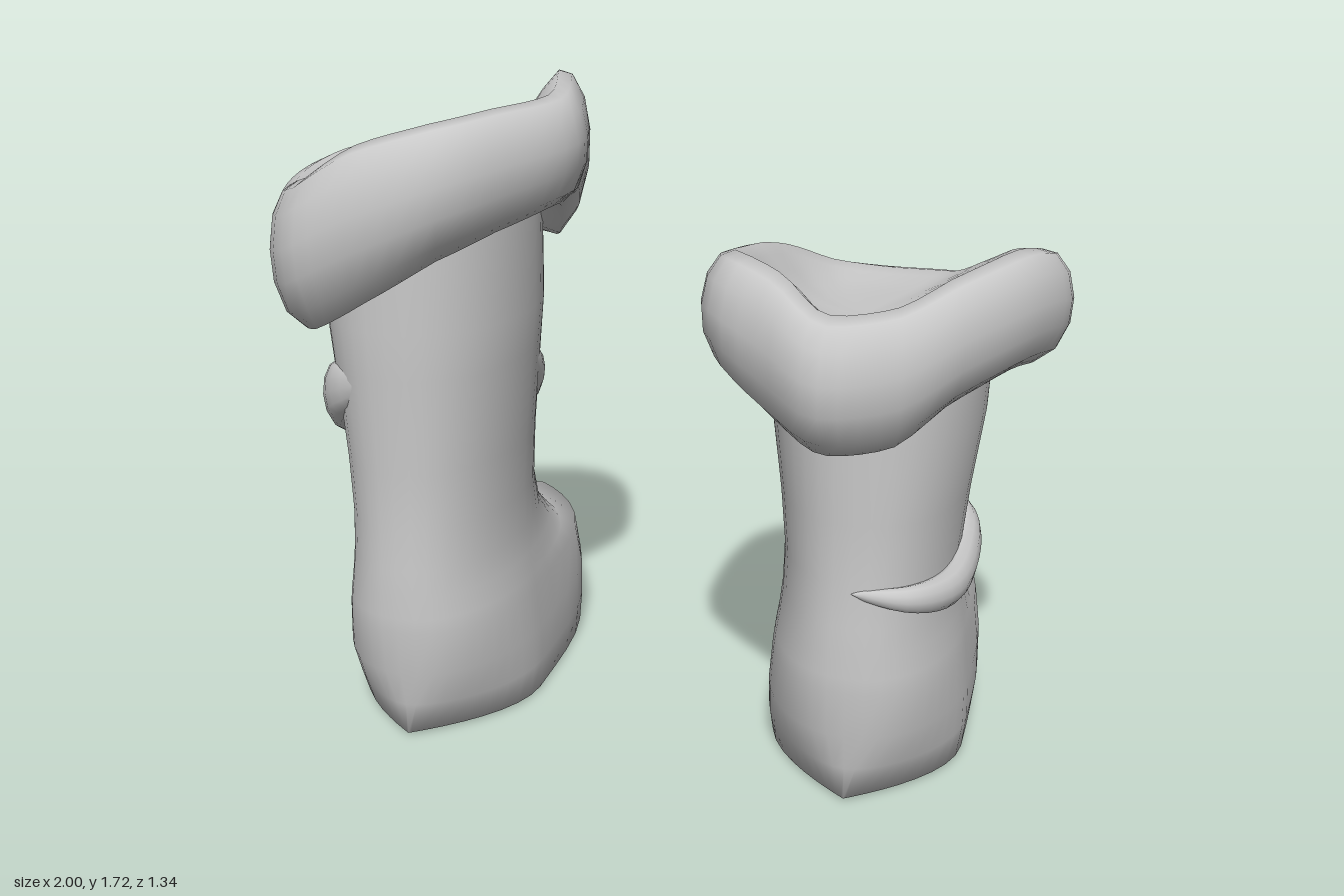
import * as THREE from 'three';

const grey = new THREE.MeshStandardMaterial({ color: 0xc8c8c8, side: THREE.DoubleSide });
grey.name = 'plain grey';

// Smooth skin over closed rings of points
function loft(name, rings) {
  const n = rings[0].length, pos = [], idx = [];
  rings.forEach(r => r.forEach(p => pos.push(p[0], p[1], p[2])));
  for (let j = 0; j < rings.length - 1; j++) {
    for (let i = 0; i < n; i++) {
      const a = j * n + i, b = j * n + (i + 1) % n;
      idx.push(a, a + n, b, b, a + n, b + n);
    }
  }
  const g = new THREE.BufferGeometry();
  g.setAttribute('position', new THREE.Float32BufferAttribute(pos, 3));
  g.setIndex(idx);
  g.computeVertexNormals();
  const mesh = new THREE.Mesh(g, grey);
  mesh.name = name;
  return mesh;
}

// Horizontal boot section; toe and heel go from round (0) to pointed (1)
function bootRing(cx, [y, w, zBack, zFront, toe, heel], slope = 0, n = 40) {
  const cz = 0.08, ring = [];
  for (let i = 0; i < n; i++) {
    const a = (i / n) * Math.PI * 2, c = Math.cos(a), s = Math.sin(a);
    const ac = Math.abs(c), as = Math.abs(s);
    const point = s >= 0 ? heel : toe, power = s >= 0 ? 1.9 : 4;
    const x = w * Math.sign(c) * ((1 - point) * Math.pow(ac, 0.9) + point * (1 - as ** power));
    const z = cz + ((s >= 0 ? zBack : zFront) - cz) * as;
    ring.push([cx + x, y + slope * x, z]);
  }
  return ring;
}

// Foot sections shared by both boots, from the middle of the sole upward:
// y, half width, back z, front z, toe point, heel point
const foot = [
  [0.005, 0.001, 0.081, 0.079, 1, 1],
  [0.005, 0.15, 0.28, -0.37, 1, 1],
  [0.012, 0.25, 0.415, -0.655, 1, 1],
  [0.1, 0.26, 0.42, -0.65, 1, 0.5],
  [0.2, 0.257, 0.44, -0.67, 1, 0.1],
  [0.32, 0.245, 0.445, -0.64, 0.85, 0],
  [0.36, 0.24, 0.443, -0.47, 0.5, 0],
  [0.42, 0.23, 0.44, -0.37, 0.2, 0],
  [0.49, 0.222, 0.435, -0.28, 0, 0],
  [0.6, 0.22, 0.425, -0.22, 0, 0],
];

// Thick cuff: rim points are x, z, top y, bottom y; the skin runs from the
// underside round the edge and into the dished top, deepest at floor [x, y, z]
function cuff(name, cx, rim, floor) {
  const cz = 0.12, n = 56;
  const outline = new THREE.CatmullRomCurve3(rim.map(r => new THREE.Vector3(r[0], 0, r[1])), true);
  const heights = new THREE.CatmullRomCurve3(rim.map(r => new THREE.Vector3(r[2], r[3], 0)), true);
  // radius fraction, height from bottom (0) to top (1), pull toward the floor
  const profile = [
    [0.56, 0.3, 0], [0.68, 0.06, 0], [0.82, 0.0, 0], [0.93, 0.14, 0], [0.99, 0.36, 0],
    [1.0, 0.58, 0], [0.97, 0.8, 0], [0.9, 0.95, 0], [0.82, 1.0, 0.03], [0.72, 0.98, 0.17],
    [0.6, 0.94, 0.4], [0.47, 0.9, 0.65], [0.32, 0.86, 0.85], [0.16, 0.8, 0.96], [0.001, 0.8, 1],
  ];
  const rings = profile.map(([f, v, pull]) => {
    const ring = [];
    for (let i = 0; i < n; i++) {
      // getPoint keeps outline and heights in step at the rim points
      const o = outline.getPoint(i / n), h = heights.getPoint(i / n);
      ring.push([
        cx + (o.x - cx) * f + (floor[0] - cx) * pull,
        THREE.MathUtils.lerp(h.y + (h.x - h.y) * v, floor[1], pull),
        cz + (o.z - cz) * f + (floor[2] - cz) * pull,
      ]);
    }
    return ring;
  });
  return loft(name, rings);
}

// Tapered crease lying on the shaft, path points are x, y, z
function fold(name, cx, path, height, depth) {
  const curve = new THREE.CatmullRomCurve3(path.map(p => new THREE.Vector3(...p)));
  const rings = [], steps = 30, n = 12;
  for (let j = 0; j <= steps; j++) {
    const p = curve.getPoint(j / steps), k = Math.pow(Math.sin(Math.PI * j / steps), 0.6) + 0.001;
    const out = new THREE.Vector3(p.x - cx, 0, p.z - 0.1).normalize();
    const ring = [];
    for (let i = 0; i < n; i++) {
      const a = (i / n) * Math.PI * 2, d = Math.cos(a) * depth * k;
      ring.push([p.x + out.x * d, p.y - Math.sin(a) * height * k, p.z + out.z * d]);
    }
    rings.push(ring);
  }
  return loft(name, rings);
}

function boot(name, cx, shaft, slope, rim, floor, foldArgs) {
  const g = new THREE.Group();
  g.name = name;
  const rings = foot.map(r => bootRing(cx, r));
  shaft.forEach((r, i) => rings.push(bootRing(cx, [...r, 0, 0], i === shaft.length - 1 ? slope : 0)));
  g.add(loft('bootBody', rings));
  g.add(cuff('cuff', cx, rim, floor));
  g.add(fold('ankleFold', cx, ...foldArgs));
  return g;
}

export function createModel() {
  const model = new THREE.Group();
  model.name = 'bootPair';

  // Tall boot with a slanted cuff
  model.add(boot('tallBoot', -0.622,
    [[0.75, 0.23, 0.42, -0.215], [1.0, 0.255, 0.425, -0.22], [1.12, 0.268, 0.425, -0.22],
      [1.33, 0.275, 0.42, -0.2]], 0.45,
    [[-1.0, 0.1, 1.47, 1.18], [-0.97, -0.1, 1.48, 1.16], [-0.88, -0.27, 1.46, 1.14],
      [-0.75, -0.35, 1.44, 1.16], [-0.6, -0.36, 1.48, 1.2], [-0.42, -0.3, 1.57, 1.24],
      [-0.27, -0.1, 1.7, 1.28], [-0.2, 0.08, 1.73, 1.39], [-0.17, 0.25, 1.7, 1.42],
      [-0.27, 0.45, 1.69, 1.39], [-0.4, 0.59, 1.67, 1.34], [-0.6, 0.65, 1.62, 1.24],
      [-0.77, 0.63, 1.53, 1.16], [-0.91, 0.42, 1.48, 1.13]], [-0.66, 1.42, 0.03],
    [[[-0.65, 1.0, 0.41], [-0.8, 0.93, 0.32], [-0.865, 0.85, 0.15], [-0.86, 0.81, 0.0],
      [-0.77, 0.78, -0.13], [-0.62, 0.78, -0.18], [-0.45, 0.86, -0.12], [-0.38, 0.98, 0.05]], 0.125, 0.06]));

  // Short boot with a drooping cuff
  model.add(boot('shortBoot', 0.548,
    [[0.75, 0.235, 0.422, -0.21], [0.95, 0.262, 0.425, -0.21], [1.1, 0.27, 0.42, -0.2]], 0.05,
    [[0.17, 0.0, 1.32, 1.05], [0.22, -0.2, 1.27, 0.95], [0.34, -0.33, 1.21, 0.98],
      [0.55, -0.38, 1.19, 1.02], [0.7, -0.34, 1.2, 1.03], [0.81, -0.23, 1.26, 1.05],
      [0.91, -0.08, 1.33, 1.07], [1.0, 0.13, 1.38, 1.1], [0.95, 0.3, 1.41, 1.12],
      [0.81, 0.49, 1.38, 1.08], [0.66, 0.61, 1.32, 0.99], [0.5, 0.67, 1.31, 0.98],
      [0.35, 0.59, 1.38, 1.02], [0.2, 0.48, 1.4, 1.1], [0.16, 0.25, 1.36, 1.1]], [0.51, 1.18, 0.13],
    [[[0.38, 0.62, -0.1], [0.48, 0.63, -0.18], [0.65, 0.62, -0.18], [0.75, 0.58, -0.08],
      [0.77, 0.55, 0.08], [0.755, 0.54, 0.25], [0.68, 0.56, 0.38], [0.55, 0.58, 0.43]], 0.055, 0.045]));
  return model;
}
